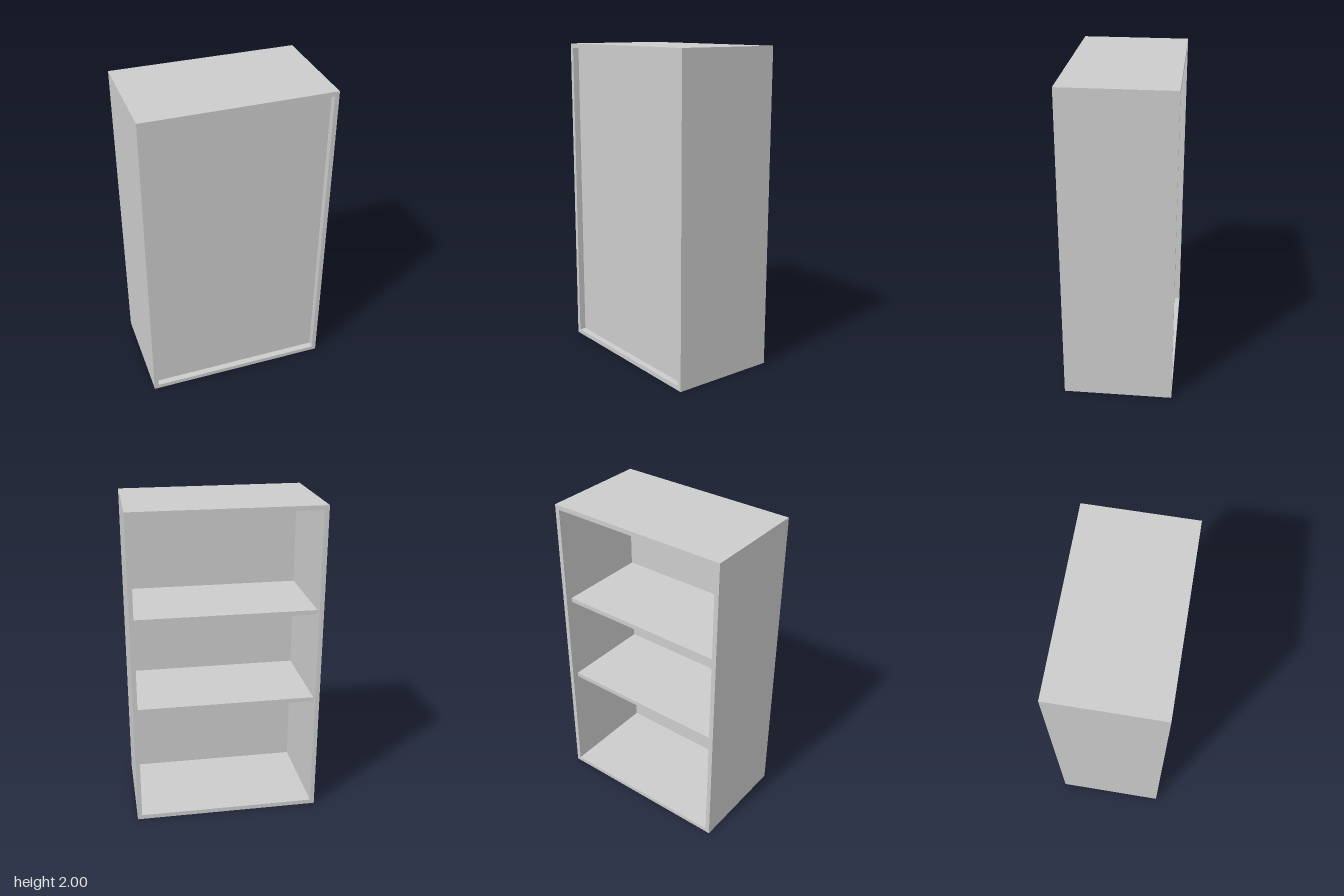
import * as THREE from 'three';

const W = 1.17, H = 2, D = 0.68, T = 0.028; // overall size and board thickness
const INSET = 0.043;                        // setback of panel and shelves
const PANEL = 0.005;

export function createModel() {
  const group = new THREE.Group();
  const material = new THREE.MeshStandardMaterial({ color: 0xcccccc });

  const add = (name, geometry, x, y, z) => {
    const mesh = new THREE.Mesh(geometry, material);
    mesh.name = name;
    mesh.position.set(x, y, z);
    group.add(mesh);
  };

  // Outer carcass: one rectangular frame, open through the depth
  const rect = (Type, w, h) => new Type([
    new THREE.Vector2(-w / 2, -h / 2), new THREE.Vector2(w / 2, -h / 2),
    new THREE.Vector2(w / 2, h / 2), new THREE.Vector2(-w / 2, h / 2),
  ]);
  const frame = rect(THREE.Shape, W, H);
  frame.holes.push(rect(THREE.Path, W - 2 * T, H - 2 * T));
  add('carcass', new THREE.ExtrudeGeometry(frame, { depth: D, bevelEnabled: false }), 0, H / 2, -D / 2);

  // Thin panel set back inside the front opening
  const innerW = W - 2 * T;
  const panelZ = D / 2 - INSET;
  add('panel', new THREE.BoxGeometry(innerW, H - 2 * T, PANEL), 0, H / 2, panelZ);

  // Two shelves running from the panel to just short of the open back
  const shelfBack = -D / 2 + INSET;
  const shelfFront = panelZ - PANEL / 2;
  [['lowerShelf', 0.765], ['upperShelf', 1.352]].forEach(([name, top]) => {
    add(name, new THREE.BoxGeometry(innerW, T, shelfFront - shelfBack),
      0, top - T / 2, (shelfFront + shelfBack) / 2);
  });

  return group;
}
